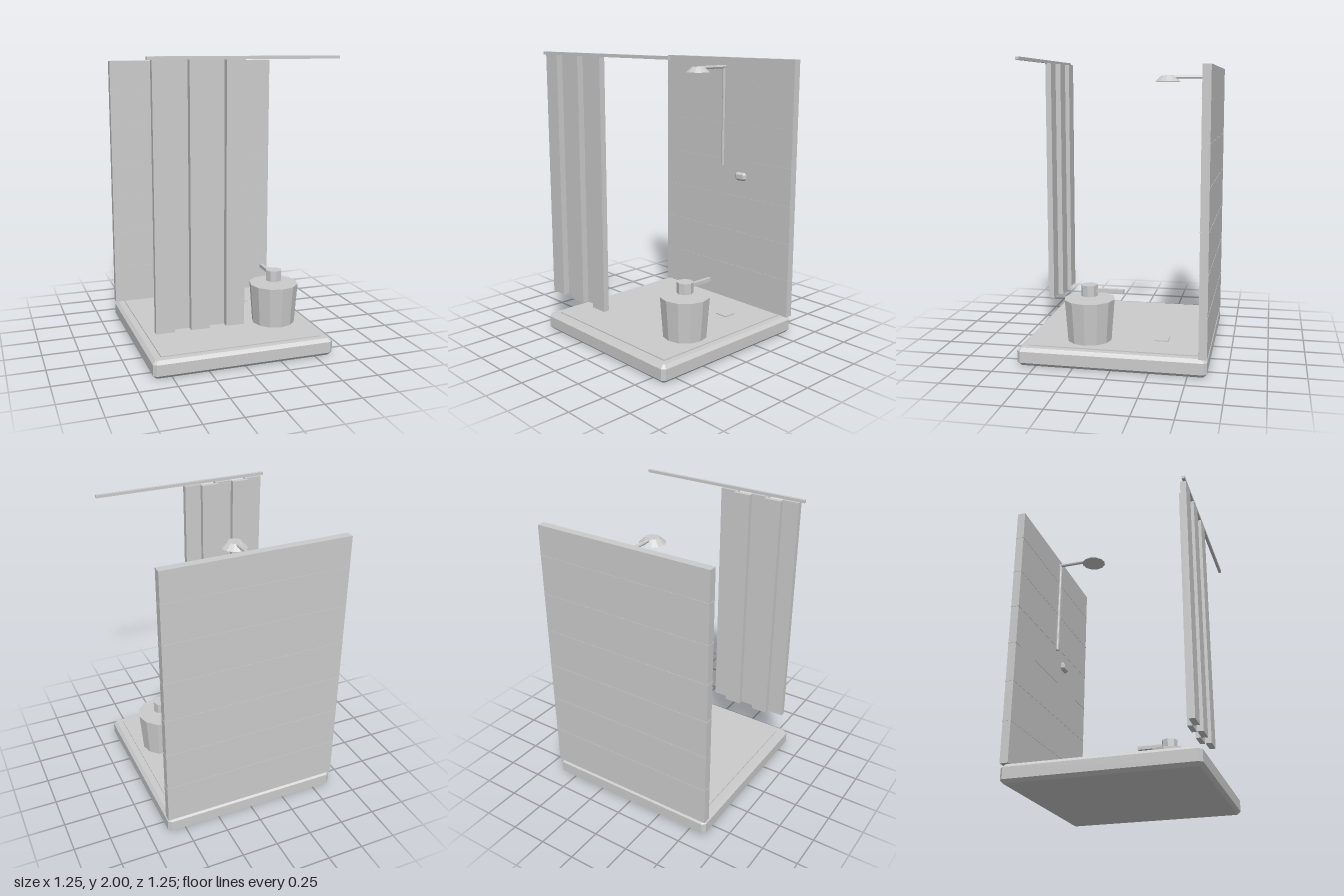
import * as THREE from 'three';

const material = new THREE.MeshStandardMaterial({ color: 0xcccccc, flatShading: true });

// Outline lies in the x-z plane; the solid rises by height from y = 0
function extrudeUp(points, height, bevel = 0) {
  // Negated z so that the rotation restores it
  const shape = new THREE.Shape(points.map(([x, z]) => new THREE.Vector2(x, -z)));
  const geometry = new THREE.ExtrudeGeometry(shape, {
    depth: height - 2 * bevel, bevelEnabled: bevel > 0,
    bevelThickness: bevel, bevelSize: bevel, bevelSegments: 1,
  });
  return geometry.rotateX(-Math.PI / 2).translate(0, bevel, 0);
}

// Box with every edge chamfered by c, standing on y = 0
function chamferBox(w, h, d, c) {
  const a = w / 2 - c, b = d / 2 - c, k = 0.414 * c;
  return extrudeUp([
    [a, -b + k], [a, b - k], [a - k, b], [-a + k, b],
    [-a, b - k], [-a, -b + k], [-a + k, -b], [a - k, -b],
  ], h, c);
}

export function createModel() {
  const model = new THREE.Group();

  const add = (name, geometry, x = 0, y = 0, z = 0, parent = model) => {
    const mesh = new THREE.Mesh(geometry, material);
    mesh.name = name;
    mesh.position.set(x, y, z);
    parent.add(mesh);
    return mesh;
  };
  const group = (name) => {
    const g = new THREE.Group();
    g.name = name;
    model.add(g);
    return g;
  };
  // Box given by its limits on each axis
  const box = (name, [x0, x1], [y0, y1], [z0, z1], parent = model) =>
    add(name, new THREE.BoxGeometry(x1 - x0, y1 - y0, z1 - z0),
      (x0 + x1) / 2, (y0 + y1) / 2, (z0 + z1) / 2, parent);

  // Floor: chamfered base, raised tray and square drain
  add('base', chamferBox(1.25, 0.12, 1.25, 0.022));
  box('tray', [-0.56, 0.56], [0.11, 0.127], [-0.56, 0.56]);
  box('drain', [0.24, 0.335], [0.12, 0.135], [-0.34, -0.245]);

  // Back wall with thin joint lines
  const wall = group('wall');
  box('wallPanel', [-0.625, 0.625], [0.122, 1.95], [-0.625, -0.57], wall);
  for (let i = 0; i < 6; i++) {
    const y = 0.395 + i * 0.27;
    box('wallJoint', [-0.627, 0.627], [y - 0.002, y + 0.002], [-0.627, -0.568], wall);
  }

  // Shower: riser, arm and flared head
  const shower = group('shower');
  const pipe = (length) => new THREE.CylinderGeometry(0.012, 0.012, length, 8);
  add('riserPipe', pipe(0.72), 0, 1.52, -0.549, shower);
  add('showerArm', pipe(0.3).rotateX(Math.PI / 2), 0, 1.883, -0.411, shower);
  add('showerHead', new THREE.CylinderGeometry(0.046, 0.086, 0.037, 12), 0, 1.872, -0.28, shower);

  // Soap holder on the wall
  add('soapHolder', chamferBox(0.1, 0.06, 0.04, 0.014), 0.17, 1.062, -0.562);

  // Curtain rod and pleated curtain
  box('curtainRod', [-0.625, 0.625], [1.98, 2], [0.566, 0.587]);
  const pleats = [[-0.475, -0.362], [-0.244, -0.128]];
  const back = [[-0.595, 0.547]], front = [[-0.595, 0.587]];
  for (const [l, r] of pleats) {
    back.push([l - 0.004, 0.547], [l - 0.004, 0.511], [r + 0.004, 0.511], [r + 0.004, 0.547]);
    front.push([l + 0.003, 0.587], [l + 0.003, 0.543], [r - 0.003, 0.543], [r - 0.003, 0.587]);
  }
  back.push([-0.008, 0.547]);
  front.push([-0.008, 0.587]);
  add('curtain', extrudeUp([...back, ...front.reverse()], 1.69), 0, 0.29, 0);

  // Pump bottle: tapered body, pump cap and spout
  const bottle = group('pumpBottle');
  bottle.position.set(0.363, 0, 0.19);
  add('bottleBody', new THREE.CylinderGeometry(0.172, 0.15, 0.285, 12), 0, 0.268, 0, bottle);
  add('pumpCap', new THREE.CylinderGeometry(0.057, 0.057, 0.075, 8), 0, 0.468, 0, bottle);
  box('spout', [-0.013, 0.013], [0.456, 0.481], [-0.235, -0.03], bottle);

  return model;
}
